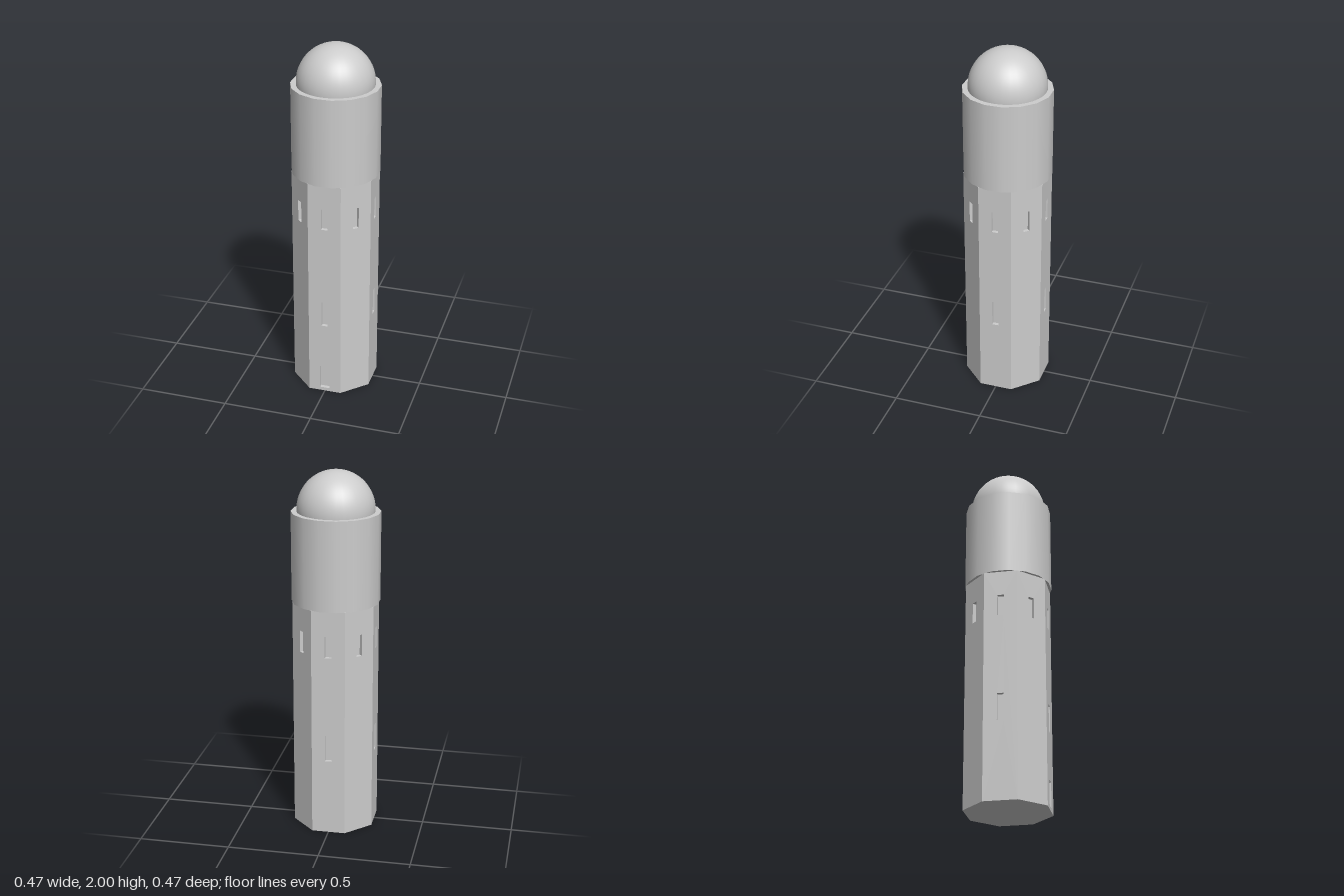
import * as THREE from 'three';

export function createModel() {
  const model = new THREE.Group();
  model.name = 'tower';
  const stone = new THREE.MeshStandardMaterial({ color: 0xcccccc });
  stone.name = 'pale grey';

  const add = (name, geometry, y = 0) => {
    const mesh = new THREE.Mesh(geometry, stone);
    mesh.name = name;
    mesh.position.y = y;
    model.add(mesh);
    return mesh;
  };

  const apothem = 0.221;      // centre to flat of the octagonal shaft
  const half = apothem * Math.tan(Math.PI / 8);
  const shaftTop = 1.29;
  const recess = 0.02;        // depth of windows and door

  // Rectangle given by half width and bottom / top heights
  const rect = (Type, w, y0, y1) => new Type([
    new THREE.Vector2(-w, y0), new THREE.Vector2(w, y0),
    new THREE.Vector2(w, y1), new THREE.Vector2(-w, y1),
  ]);

  // Eight wall panels with openings cut through them
  for (let i = 0; i < 8; i++) {
    const wall = rect(THREE.Shape, half, 0, shaftTop);
    wall.holes.push(rect(THREE.Path, 0.018, 1.03, 1.15));                    // upper window
    if (i % 2 === 0) wall.holes.push(rect(THREE.Path, 0.018, 0.43, 0.58));   // lower window
    if (i === 0) wall.holes.push(rect(THREE.Path, 0.028, 0.02, 0.16));       // door
    const panel = new THREE.ExtrudeGeometry(wall, { depth: recess, bevelEnabled: false });
    panel.translate(0, 0, apothem - recess);
    panel.rotateY(i * Math.PI / 4);
    add(i === 0 ? 'frontWall' : 'wall' + i, panel);
  }

  // Inner core closes the backs of the openings and the underside
  const coreRadius = (apothem - recess) / Math.cos(Math.PI / 8);
  const core = new THREE.CylinderGeometry(coreRadius, coreRadius, shaftTop, 8).toNonIndexed();
  core.rotateY(Math.PI / 8);
  core.computeVertexNormals();
  add('shaftCore', core, shaftTop / 2);

  // Sixteen-sided smooth upper drum
  const drum = new THREE.CylinderGeometry(0.24, 0.24, 0.49, 16);
  drum.rotateY(Math.PI / 16);
  add('upperDrum', drum, 1.535);

  // Dome, running slightly into the drum
  add('dome', new THREE.SphereGeometry(0.209, 32, 20, 0, Math.PI * 2, 0, Math.PI * 0.56), 1.791);

  return model;
}
